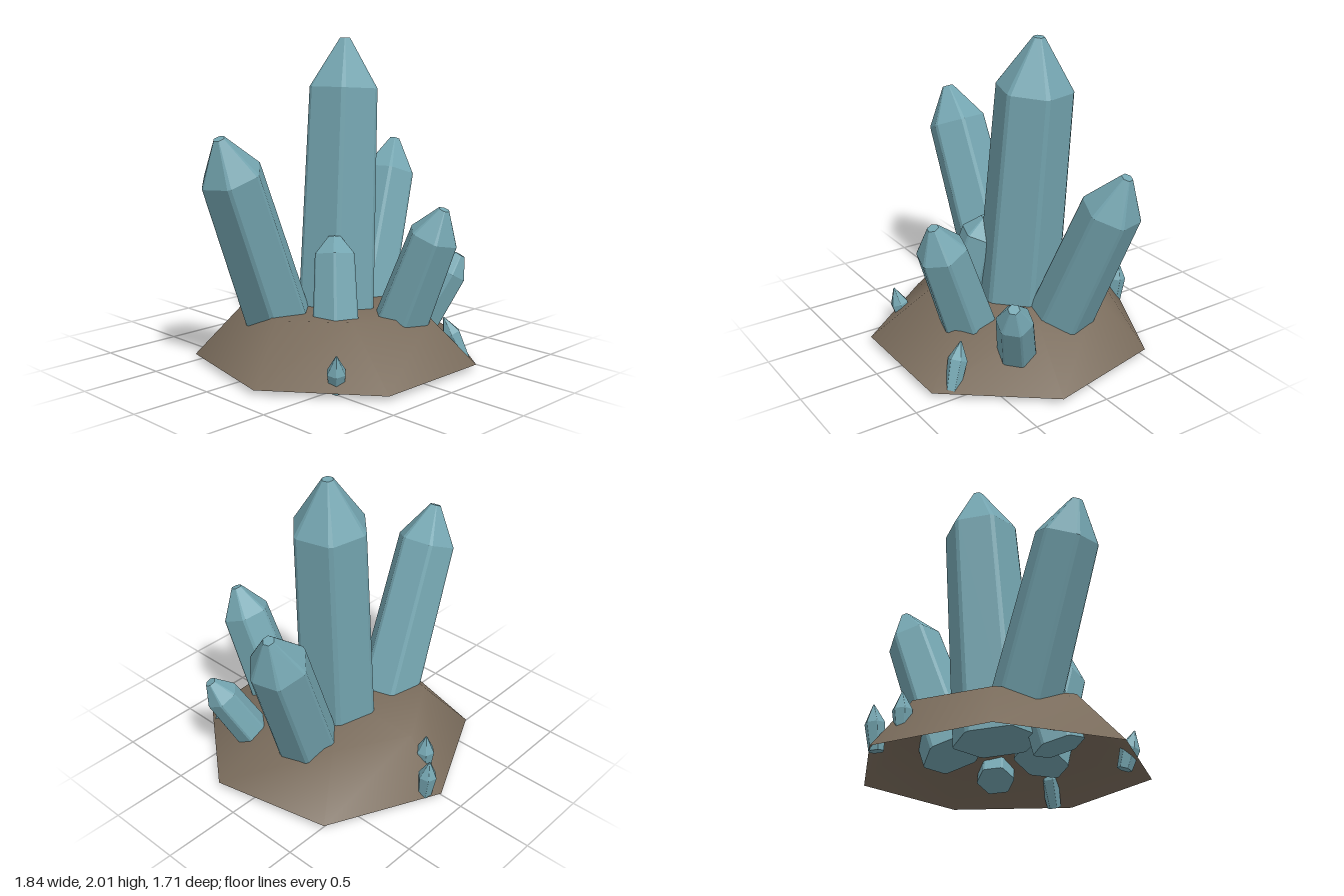
import * as THREE from 'three';

const crystalMaterial = new THREE.MeshStandardMaterial({ color: 0x74a5b0, flatShading: true });
const rockMaterial = new THREE.MeshStandardMaterial({ color: 0x7a6c5c, side: THREE.DoubleSide });

// Six-sided crystal from base to tip; corners get a narrow chamfer
function crystal(name, base, tip, baseR, shoulderR, tipR, tipLength, chamferDeg = 3.5) {
  const from = new THREE.Vector3(...base);
  const axis = new THREE.Vector3(...tip).sub(from);
  const length = axis.length();
  const profile = [
    [0, 0], [baseR, 0], [shoulderR, length - tipLength], [tipR, length], [0, length],
  ].map(([r, y]) => new THREE.Vector2(r, y));

  // Gather the twelve lathe columns in pairs around six corners
  const geometry = new THREE.LatheGeometry(profile, 12);
  const pos = geometry.attributes.position;
  for (let i = 0; i < pos.count; i++) {
    const x = pos.getX(i), z = pos.getZ(i), r = Math.hypot(x, z);
    if (r < 1e-6) continue;
    const column = (Math.round(Math.atan2(x, z) / (Math.PI / 6)) + 12) % 12;
    const degrees = 15 + 60 * Math.floor(column / 2) + (column % 2 ? chamferDeg : -chamferDeg);
    const phi = THREE.MathUtils.degToRad(degrees);
    pos.setX(i, r * Math.sin(phi));
    pos.setZ(i, r * Math.cos(phi));
  }
  const flat = geometry.toNonIndexed();
  flat.computeVertexNormals();

  const mesh = new THREE.Mesh(flat, crystalMaterial);
  mesh.name = name;
  mesh.position.copy(from);
  mesh.quaternion.setFromUnitVectors(new THREE.Vector3(0, 1, 0), axis.normalize());
  return mesh;
}

// Seven-sided rock with softened edges, open underneath
function rockBase() {
  const rim = [[0.02, -0.86], [0.73, -0.52], [0.9, 0.24], [0.42, 0.85], [-0.37, 0.85], [-0.85, 0.24], [-0.68, -0.52]]
    .map(([x, z]) => [x, 0.03, z]);
  const top = [
    [0.02, 0.35, -0.6], [0.46, 0.34, -0.34], [0.5, 0.31, 0.14], [0.28, 0.3, 0.6],
    [-0.24, 0.345, 0.44], [-0.57, 0.36, 0.13], [-0.43, 0.35, -0.34],
  ];
  const centre = [0, 0.34, 0];
  const index = [];
  for (let i = 0; i < 7; i++) {
    const j = (i + 1) % 7;
    index.push(j, i, 7 + i, j, 7 + i, 7 + j, 14, 7 + j, 7 + i);
  }
  const geometry = new THREE.BufferGeometry();
  geometry.setAttribute('position', new THREE.Float32BufferAttribute([...rim, ...top, centre].flat(), 3));
  geometry.setIndex(index);
  geometry.computeVertexNormals();
  const mesh = new THREE.Mesh(geometry, rockMaterial);
  mesh.name = 'rockBase';
  return mesh;
}

export function createModel() {
  const group = new THREE.Group();
  group.name = 'crystalCluster';
  group.add(rockBase());

  // Large crystals
  group.add(
    crystal('centreCrystal', [0.05, 0.22, 0.0], [0.19, 2.0, -0.06], 0.265, 0.235, 0.035, 0.31),
    crystal('rightLargeCrystal', [-0.33, 0.22, -0.095], [-0.845, 1.45, -0.04], 0.21, 0.19, 0.035, 0.24),
    crystal('leftLargeCrystal', [0.4, 0.22, -0.08], [0.84, 1.3, -0.22], 0.2, 0.18, 0.035, 0.24),
    crystal('frontCrystal', [0.17, 0.2, 0.42], [0.25, 1.0, 0.715], 0.175, 0.155, 0.035, 0.18),
  );

  // Medium crystals
  group.add(
    crystal('innerCrystal', [-0.215, 0.17, 0.27], [-0.09, 0.8, 0.13], 0.16, 0.135, 0.04, 0.11),
    crystal('leftFrontCrystal', [0.5, 0.14, 0.3], [0.72, 0.61, 0.47], 0.12, 0.11, 0.035, 0.13),
  );

  // Small pointed crystals around the rim
  const small = [
    [[-0.48, 0.01, 0.54], [-0.53, 0.24, 0.59]],
    [[0.45, 0.02, 0.73], [0.38, 0.29, 0.62]],
    [[0.09, 0.03, -0.78], [0.09, 0.3, -0.81]],
    [[-0.02, 0.12, -0.68], [-0.02, 0.37, -0.69]],
  ];
  small.forEach(([base, tip], i) =>
    group.add(crystal(`smallCrystal${i + 1}`, base, tip, 0.045, 0.06, 0.004, 0.11, 1)));

  return group;
}
